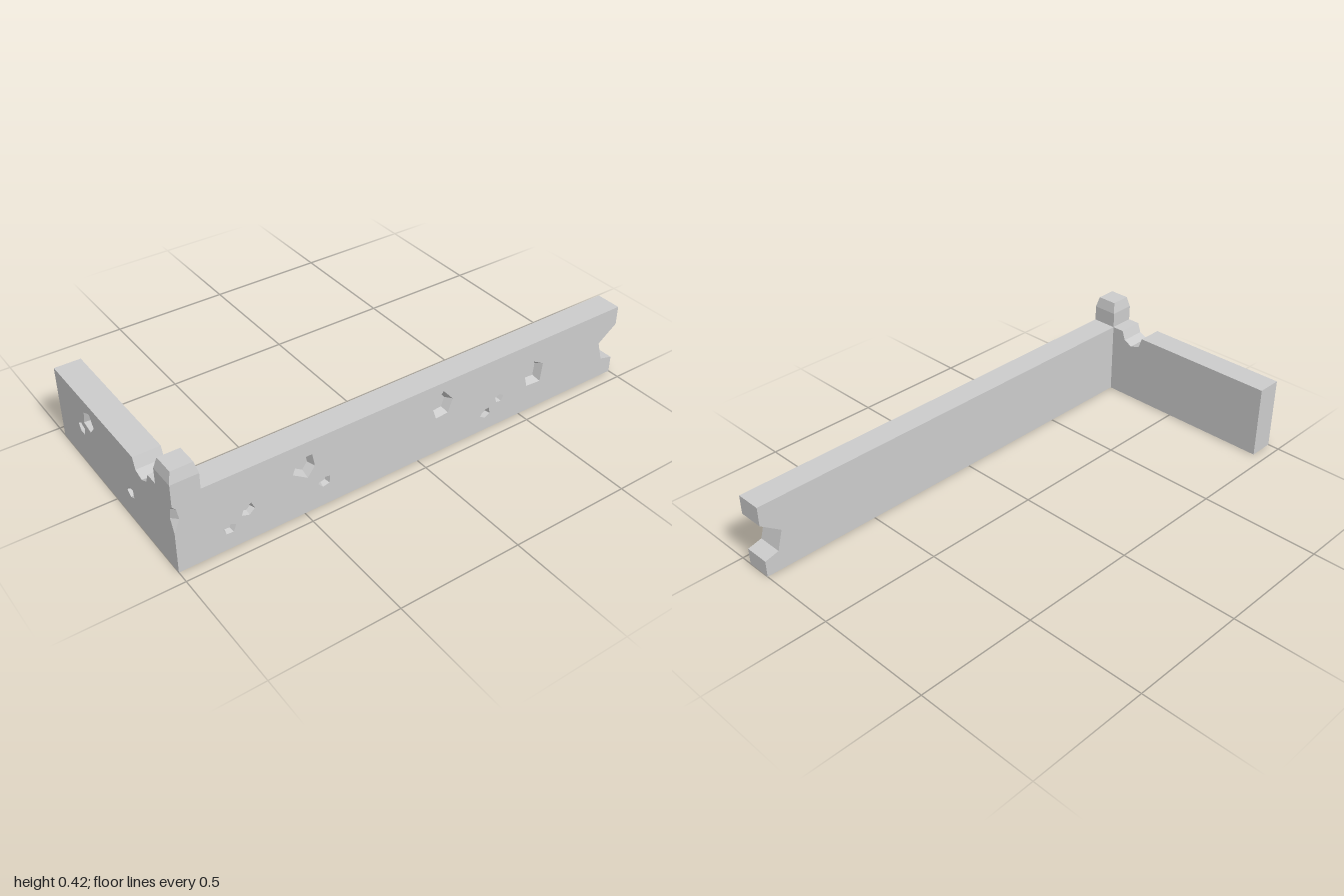
import * as THREE from 'three';
import { mergeGeometries } from 'three/addons/utils/BufferGeometryUtils.js';

const T = 0.107; // wall thickness
const material = new THREE.MeshStandardMaterial({ color: 0xcccccc, flatShading: true });

function fromTriangles(positions) {
  const g = new THREE.BufferGeometry();
  g.setAttribute('position', new THREE.Float32BufferAttribute(positions, 3));
  g.computeVertexNormals();
  return g;
}

const quad = (out, a, b, c, d) => out.push(...a, ...b, ...c, ...a, ...c, ...d);

// Irregular five-sided outline, counter-clockwise
function chip(cx, cy, r, turn) {
  return [1, 0.8, 1.05, 0.85, 0.95].map((k, i) => {
    const a = turn + (i * Math.PI * 2) / 5;
    return [cx + Math.cos(a) * r * k, cy + Math.sin(a) * r * k];
  });
}

// Sloping sides and floor of a pit sunk into the face at z = T
function pitGeometry(pts, depth) {
  const n = pts.length;
  const cx = pts.reduce((s, p) => s + p[0], 0) / n;
  const cy = pts.reduce((s, p) => s + p[1], 0) / n;
  const rim = pts.map(([x, y]) => [x, y, T]);
  const floor = pts.map(([x, y]) => [cx + (x - cx) * 0.68, cy + (y - cy) * 0.68, T - depth]);
  const out = [];
  for (let i = 0; i < n; i++) {
    const j = (i + 1) % n;
    quad(out, rim[i], rim[j], floor[j], floor[i]);
    out.push(cx, cy, T - depth, ...floor[i], ...floor[j]);
  }
  return fromTriangles(out);
}

// Extruded wall whose front cap is replaced by one with pits
function pittedWall(outline, pits) {
  const toVec = ([x, y]) => new THREE.Vector2(x, y);
  const body = new THREE.ExtrudeGeometry(new THREE.Shape(outline.map(toVec)), { depth: T, bevelEnabled: false });
  const p = body.attributes.position.array;
  const kept = [];
  for (let i = 0; i < p.length; i += 9) {
    const isFront = [2, 5, 8].every((k) => Math.abs(p[i + k] - T) < 1e-5);
    if (!isFront) kept.push(...p.slice(i, i + 9));
  }
  const faceShape = new THREE.Shape(outline.map(toVec));
  pits.forEach((pit) => faceShape.holes.push(new THREE.Path(pit.pts.map(toVec))));
  const face = new THREE.ShapeGeometry(faceShape).toNonIndexed();
  face.deleteAttribute('uv');
  face.translate(0, 0, T);
  return mergeGeometries([fromTriangles(kept), face, ...pits.map((pit) => pitGeometry(pit.pts, pit.depth))]);
}

// Corner post lofted from square sections, with a chipped outer corner
function cornerPost() {
  const levels = [ // height, inset, corner cut
    [0, 0, 0], [0.17, 0, 0], [0.225, 0, 0.022], [0.27, 0, 0.014], [0.285, 0, 0],
    [0.375, 0, 0], [0.42, 0.011, 0],
  ];
  const rings = levels.map(([y, s, c]) => {
    const x0 = -1 + s, x1 = -1 + T - s, z0 = 0.45 - T + s, z1 = 0.45 - s;
    return [[x1, y, z0], [x0, y, z0], [x0, y, z1 - c], [x0 + c, y, z1], [x1, y, z1]];
  });
  const out = [];
  for (let k = 0; k < rings.length - 1; k++) {
    for (let i = 0; i < 5; i++) {
      const j = (i + 1) % 5;
      quad(out, rings[k][i], rings[k][j], rings[k + 1][j], rings[k + 1][i]);
    }
  }
  const top = rings[rings.length - 1], base = rings[0];
  quad(out, top[0], top[1], top[2], top[4]);
  quad(out, base[4], base[2], base[1], base[0]);
  return fromTriangles(out);
}

export function createModel() {
  const group = new THREE.Group();
  group.name = 'ruinedWall';
  const add = (name, geometry) => {
    const mesh = new THREE.Mesh(geometry, material);
    mesh.name = name;
    group.add(mesh);
    return mesh;
  };

  // Long front wall with a broken end
  const frontOutline = [
    [-1 + T, 0], [1, 0], [1, 0.07], [0.94, 0.085], [0.915, 0.168], [1, 0.23], [1, 0.31], [-1 + T, 0.31],
  ];
  const frontPits = [
    { pts: [[0.08, 0.16], [0.135, 0.165], [0.155, 0.22], [0.11, 0.272], [0.06, 0.215]], depth: 0.03 },
    { pts: [[0.53, 0.12], [0.6, 0.115], [0.608, 0.195], [0.56, 0.222], [0.513, 0.185]], depth: 0.03 },
    { pts: [[-0.545, 0.195], [-0.485, 0.155], [-0.455, 0.195], [-0.465, 0.25], [-0.525, 0.25]], depth: 0.03 },
    { pts: chip(-0.8, 0.088, 0.027, 0.3), depth: 0.02 },
    { pts: chip(-0.725, 0.133, 0.028, 1.1), depth: 0.02 },
    { pts: chip(-0.415, 0.105, 0.027, 0.6), depth: 0.02 },
    { pts: chip(0.325, 0.078, 0.025, 0.9), depth: 0.02 },
    { pts: chip(0.39, 0.122, 0.022, 0.2), depth: 0.02 },
  ];
  add('frontWall', pittedWall(frontOutline, frontPits)).position.z = 0.45 - T;

  // Side wall with a broken top edge, pitted on its outer face
  const sideOutline = [
    [-0.45, 0], [0.45 - T, 0], [0.45 - T, 0.31], [0.29, 0.31], [0.275, 0.27],
    [0.238, 0.252], [0.195, 0.266], [0.18, 0.31], [-0.45, 0.31],
  ];
  const sidePits = [
    { pts: chip(-0.18, 0.23, 0.048, 1.2), depth: 0.03 },
    { pts: chip(-0.25, 0.16, 0.028, 0.4), depth: 0.02 },
    { pts: chip(0.13, 0.122, 0.028, 0.8), depth: 0.02 },
  ];
  const side = add('sideWall', pittedWall(sideOutline, sidePits));
  side.rotation.y = -Math.PI / 2;
  side.position.x = -1 + T;

  add('cornerPost', cornerPost());
  return group;
}
